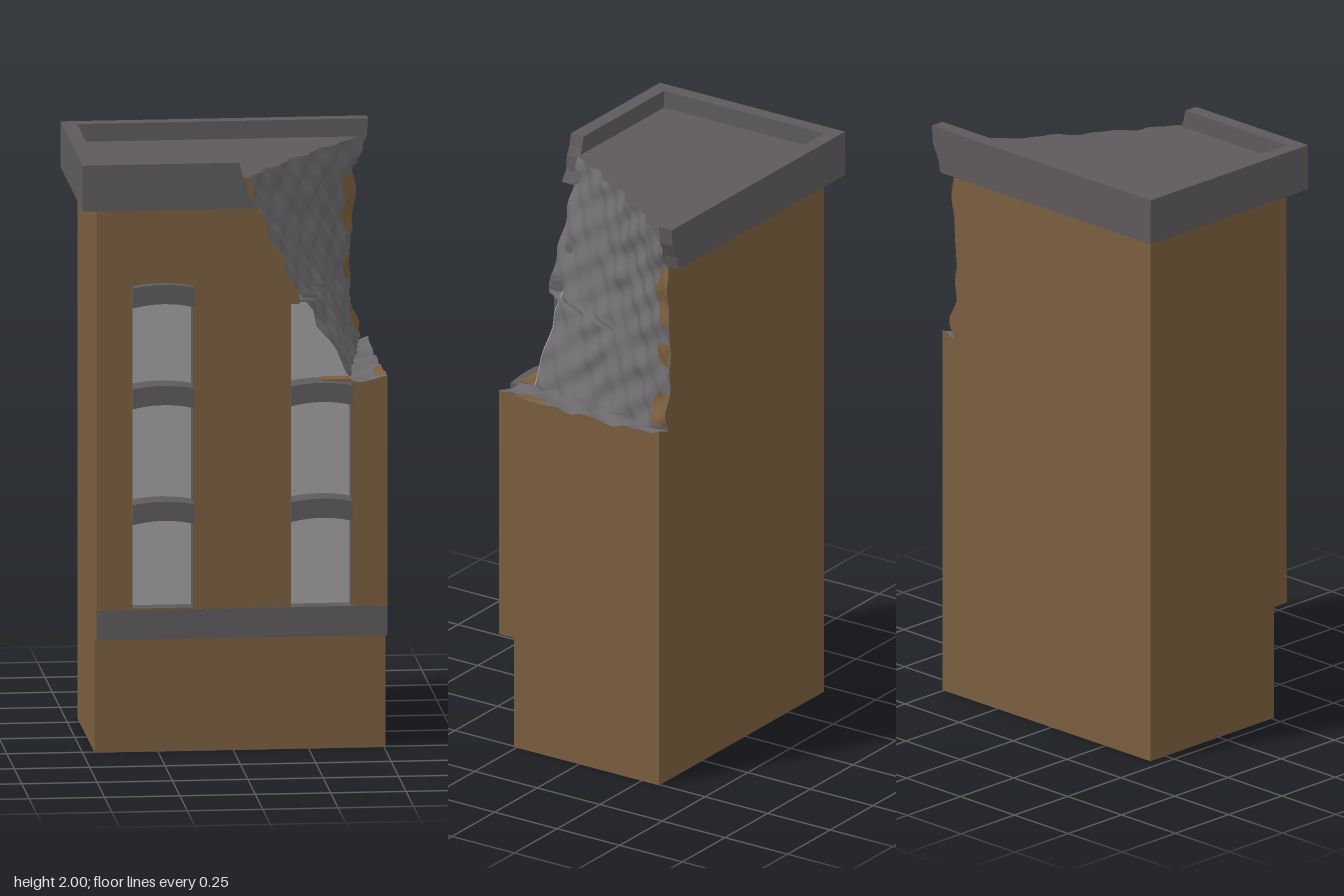
import * as THREE from 'three';

const mat = (name, color) => new THREE.MeshStandardMaterial({ name, color, side: THREE.DoubleSide });
const lerp = THREE.MathUtils.lerp;

// Key heights and the outer right wall
const LEDGE = 1.25, DECK = 1.94, RIGHT = 0.505, LOW = 1.2;

// Lumpy rock noise, roughly -1..1
const lumps = (a, b) =>
  0.5 * Math.sin(a * 31 + 2.3 * Math.sin(b * 17)) * Math.cos(b * 27 + 1.7 * Math.sin(a * 13)) +
  0.35 * Math.sin(a * 53 + b * 38 + 1.1) + 0.25 * Math.sin(b * 74 - a * 47);

// x of the broken face at height y and depth z
function cliffX(y, z) {
  const t = THREE.MathUtils.clamp((y - LEDGE) / (DECK - LEDGE), 0, 1);
  const s = THREE.MathUtils.clamp((0.32 - z) / 0.64, 0, 1);
  const top = 0.045 + 0.435 * Math.pow(s, 1.15);
  const base = 0.38 + 0.085 * s;
  return lerp(base, top, t) - 0.03 * Math.sin(Math.PI * t) + 0.018 * lumps(y, z);
}

// y of the broken ledge
const ledgeY = (x, z) => LEDGE + 0.01 * lumps(x, z) + 0.03 * Math.max(0, (x - 0.47) / 0.035) * Math.max(0, Math.abs(z) / 0.32 - 0.5);

// Surface from a rule point(u, v) -> [x, y, z]
function gridGeometry(point, nu, nv) {
  const pos = [], index = [];
  for (let j = 0; j <= nv; j++) for (let i = 0; i <= nu; i++) pos.push(...point(i / nu, j / nv));
  for (let j = 0; j < nv; j++) for (let i = 0; i < nu; i++) {
    const a = j * (nu + 1) + i, b = a + 1, c = a + nu + 1, d = c + 1;
    index.push(a, b, d, a, d, c);
  }
  const g = new THREE.BufferGeometry();
  g.setAttribute('position', new THREE.Float32BufferAttribute(pos, 3));
  g.setIndex(index);
  g.computeVertexNormals();
  return g;
}

const polygon = pts => new THREE.Shape(pts.map(p => new THREE.Vector2(p[0], p[1])));

export function createModel() {
  const model = new THREE.Group();
  model.name = 'brokenBuilding';
  const brick = mat('brick brown', 0x7a5e3e);
  const stone = mat('stone grey', 0x5e5a5c);
  const rock = mat('broken concrete', 0x6c6a6d);
  const glass = mat('window grey', 0xa0a0a0);

  const add = (name, geometry, material) => {
    const m = new THREE.Mesh(geometry, material);
    m.name = name;
    model.add(m);
    return m;
  };
  const box = (name, x0, x1, y0, y1, z0, z1, material) =>
    add(name, new THREE.BoxGeometry(x1 - x0, y1 - y0, z1 - z0), material)
      .position.set((x0 + x1) / 2, (y0 + y1) / 2, (z0 + z1) / 2);
  const slab = (name, shape, z0, z1, material) => {
    const g = new THREE.ExtrudeGeometry(shape, { depth: z1 - z0, bevelEnabled: false });
    return add(name, g.translate(0, 0, z0), material);
  };
  // Points along the broken edge at one depth, from low to high
  const edge = (y0, y1, z, n = 18) =>
    Array.from({ length: n + 1 }, (_, i) => {
      const y = lerp(y0, y1, i / n);
      return [cliffX(y, z), y];
    });

  // Solid lower body, left wall and right front corner
  box('lowerBody', -0.46, RIGHT, 0, LOW, -0.32, 0.26, brick);
  box('leftWall', -0.46, -0.455, 0.39, DECK, -0.32, 0.32, brick);
  box('rightWallEnd', 0.5, RIGHT, 0.39, LOW, 0.26, 0.32, brick);
  box('frontPier', 0.385, 0.5, 0.49, LOW, 0.26, 0.32, [stone, stone, brick, brick, brick, brick]);
  box('sillBand', -0.455, 0.5, 0.39, 0.49, 0.26, 0.32, stone);
  box('sillBandCorners', -0.46, RIGHT, 0.39, 0.49, 0.319, 0.321, stone);

  // Front wall with one full window opening and one broken opening
  const front = polygon([[-0.455, 0.49], [0.185, 0.49], [0.185, 1.51], ...edge(1.51, DECK, 0.32), [-0.455, DECK]]);
  front.holes.push(new THREE.Path([[-0.34, 0.495], [-0.34, 1.53], [-0.14, 1.53], [-0.14, 0.495]].map(p => new THREE.Vector2(...p))));
  slab('frontWall', front, 0.26, 0.32, [brick, stone]);

  // Recessed window strips
  slab('leftWindow', polygon([[-0.34, 0.49], [-0.14, 0.49], [-0.14, 1.53], [-0.34, 1.53]]), 0.26, 0.263, glass);
  slab('rightWindow', polygon([[0.185, 0.49], [0.385, 0.49], [0.385, LEDGE], ...edge(LEDGE + 0.01, 1.53, 0.26, 10), [0.185, 1.53]]),
    0.26, 0.263, glass);

  // Arched lintels, underside sloping down to a flat back edge
  const lintelShape = new THREE.Shape();
  lintelShape.moveTo(-0.102, 0.003);
  lintelShape.quadraticCurveTo(0, 0.028, 0.102, 0.003);
  lintelShape.lineTo(0.102, 0.07);
  lintelShape.quadraticCurveTo(0, 0.09, -0.102, 0.07);
  const lintel = new THREE.ExtrudeGeometry(lintelShape, { depth: 0.093, bevelEnabled: false, curveSegments: 6 });
  const lp = lintel.attributes.position;
  for (let i = 0; i < lp.count; i++) if (lp.getZ(i) < 0.01 && lp.getY(i) < 0.04) lp.setY(i, 0);
  lintel.computeVertexNormals();
  for (const [x, y] of [[-0.24, 0.78], [-0.24, 1.17], [-0.24, 1.51], [0.285, 0.78], [0.285, 1.17]]) {
    add('lintel', lintel, stone).position.set(x, y, 0.262);
  }
  box('lintelPatch', 0.29, 0.384, 1.245, 1.254, 0.264, 0.32, brick);

  // Rough broken face; it stops at the window plane below the opening's top
  add('brokenFace', gridGeometry((u, v) => {
    const y = lerp(LEDGE - 0.02, DECK, v);
    const z = lerp(-0.32, y < 1.51 ? 0.26 : 0.32, u);
    return [cliffX(y, z), y, z];
  }, 48, 52), rock);

  // Broken ledge and the uneven tops of the walls below it
  add('brokenLedge', gridGeometry((u, v) => {
    const z = lerp(-0.32, 0.32, u);
    const x = lerp(cliffX(LEDGE, z) - 0.01, RIGHT, v);
    return [x, ledgeY(x, z), z];
  }, 36, 8), rock);
  add('ledgePatch', gridGeometry((u, v) => {
    const x = lerp(0.47 + 0.02 * Math.pow(2 * u - 1, 4), RIGHT, v), z = lerp(0.14, 0.29, u);
    return [x, ledgeY(x, z) + 0.003, z];
  }, 12, 4), brick);
  add('rightWallTop', gridGeometry((u, v) => {
    const z = lerp(0.32, -0.32, u);
    return [RIGHT, lerp(LOW, ledgeY(RIGHT, z), v), z];
  }, 36, 1), brick);
  for (const [name, z, x0] of [['pierTop', 0.32, 0.385], ['backWallTop', -0.32, 0.42]]) {
    add(name, gridGeometry((u, v) => {
      const x = lerp(x0, RIGHT, z > 0 ? u : 1 - u);
      return [x, lerp(LOW, ledgeY(x, z), v), z];
    }, 8, 1), brick);
  }

  // Back wall running up to the broken edge
  add('backWall', gridGeometry((u, v) => {
    const y = lerp(LOW, DECK, v);
    return [lerp(cliffX(y, -0.32), -0.46, u), y, -0.32];
  }, 1, 36), brick);

  // Brown patches left on the broken back corner
  for (const [y0, y1] of [[1.27, 1.38], [1.47, 1.55], [1.62, 1.82]]) {
    add('backCornerPatch', gridGeometry((u, v) => {
      const y = lerp(y0, y1, v);
      const z = lerp(-0.32, -0.25 - 0.03 * Math.pow(2 * v - 1, 2), u);
      return [cliffX(y, z) + 0.004, y, z];
    }, 5, 10), brick);
  }

  // Roof deck ending at the broken edge
  add('roofDeck', gridGeometry((u, v) => {
    const z = lerp(0.325, -0.325, v);
    return [lerp(-0.46, cliffX(DECK, z), u), DECK, z];
  }, 1, 52), stone);

  // Cornice and parapet with snapped ends
  box('leftCornice', -0.51, -0.46, 1.845, 2, -0.37, 0.37, stone);
  slab('frontCornice', polygon([[-0.46, 1.845], [0.065, 1.845], [0.04, 1.88], [0.035, 1.93], [0.02, 1.96], [0.01, 2], [-0.46, 2]]),
    0.32, 0.37, stone);
  slab('backCornice', polygon([[-0.46, 1.845], [0.465, 1.845], [0.475, 1.89], [0.5, 1.94], [RIGHT, 2], [-0.46, 2]]),
    -0.37, -0.32, stone);
  return model;
}
